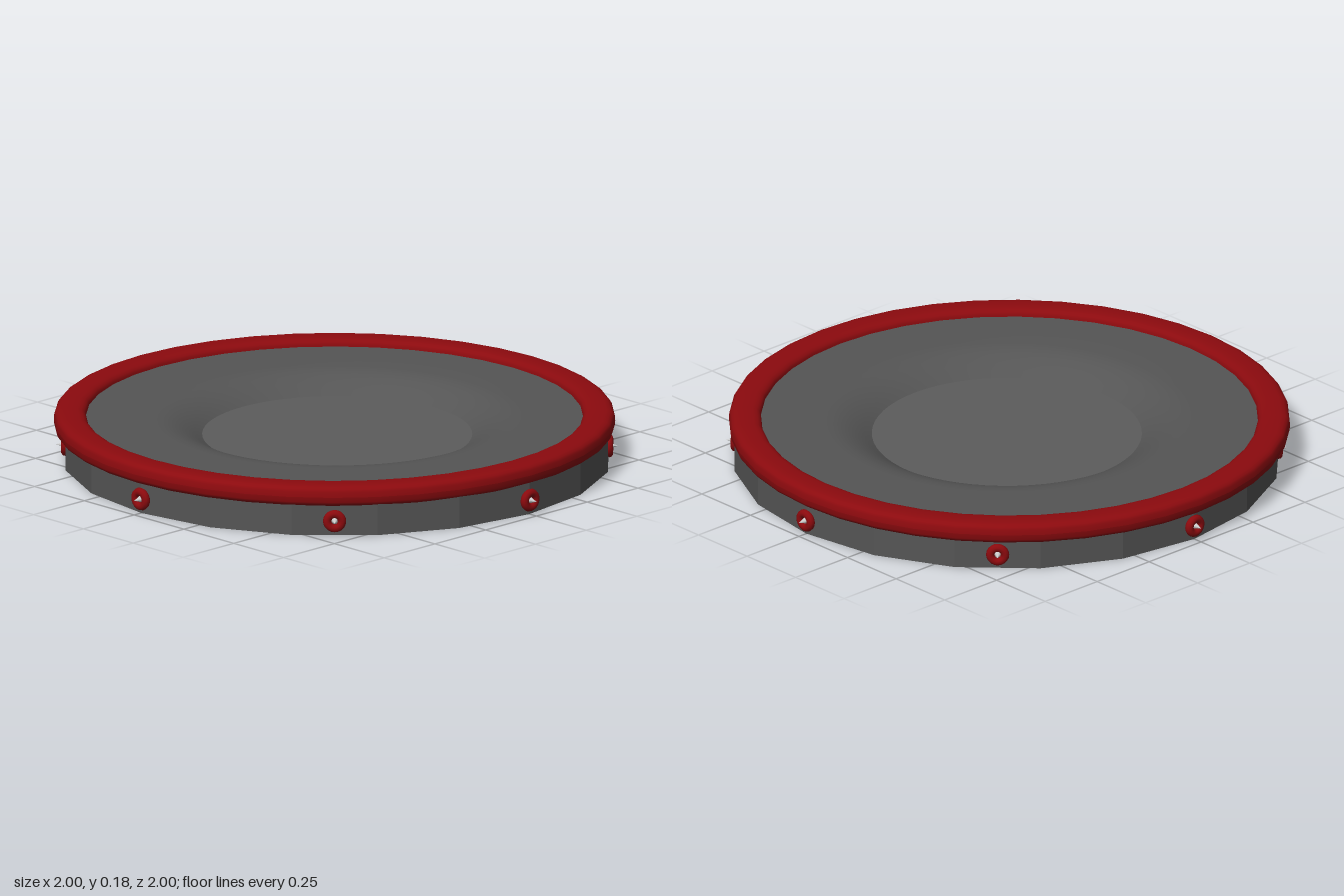
import * as THREE from 'three';

const material = (color, extra = {}) => new THREE.MeshStandardMaterial({ color, ...extra });

function add(parent, name, geometry, mat) {
  const mesh = new THREE.Mesh(geometry, mat);
  mesh.name = name;
  parent.add(mesh);
  return mesh;
}

export function createModel() {
  const model = new THREE.Group();
  model.name = 'studdedDisc';
  const grey = material(0x555555, { side: THREE.DoubleSide });
  const wallGrey = material(0x555555, { side: THREE.DoubleSide, flatShading: true });
  const red = material(0x8c0a0e);
  const steel = material(0xcccccc);

  // Thin open side wall
  const wall = new THREE.CylinderGeometry(0.965, 0.965, 0.14, 20, 1, true);
  add(model, 'sideWall', wall, wallGrey).position.y = 0.07;

  // Rounded, flattened rim, set slightly to one side
  const profile = [];
  const soften = (v) => Math.sign(v) * Math.abs(v) ** 0.65;
  for (let i = 0; i <= 20; i++) {
    const a = (i / 20) * Math.PI * 2;
    profile.push(new THREE.Vector2(
      0.93 + 0.057 * soften(Math.cos(a)),
      0.143 + 0.039 * soften(Math.sin(a))));
  }
  add(model, 'rim', new THREE.LatheGeometry(profile, 40), red).position.x = -0.0135;

  // Flat top plate that curves down to a sunken centre
  const plate = [[0.475, 0.093], [0.5, 0.109], [0.53, 0.126], [0.57, 0.143],
    [0.61, 0.152], [0.65, 0.155], [0.92, 0.155]].map(([r, y]) => new THREE.Vector2(r, y));
  add(model, 'topPlate', new THREE.LatheGeometry(plate, 64), grey);
  const centre = add(model, 'sunkenCentre', new THREE.CircleGeometry(0.475, 64),
    material(0x5c5c5c, { side: THREE.DoubleSide }));
  centre.rotation.x = -Math.PI / 2;
  centre.position.y = 0.093;

  // Eight ringed spikes around the wall
  const collar = new THREE.TorusGeometry(0.026, 0.015, 10, 20);
  const spike = new THREE.ConeGeometry(0.018, 0.05, 12).rotateX(Math.PI / 2);
  for (let i = 0; i < 8; i++) {
    const a = (i * Math.PI) / 4;
    const r = i % 2 ? 0.956 : 0.968;
    const stud = new THREE.Group();
    stud.name = 'stud';
    add(stud, 'collar', collar, red);
    add(stud, 'spike', spike, steel).position.z = 0.007;
    stud.position.set(Math.sin(a) * r, 0.052, Math.cos(a) * r);
    stud.rotation.y = a;
    model.add(stud);
  }
  return model;
}
